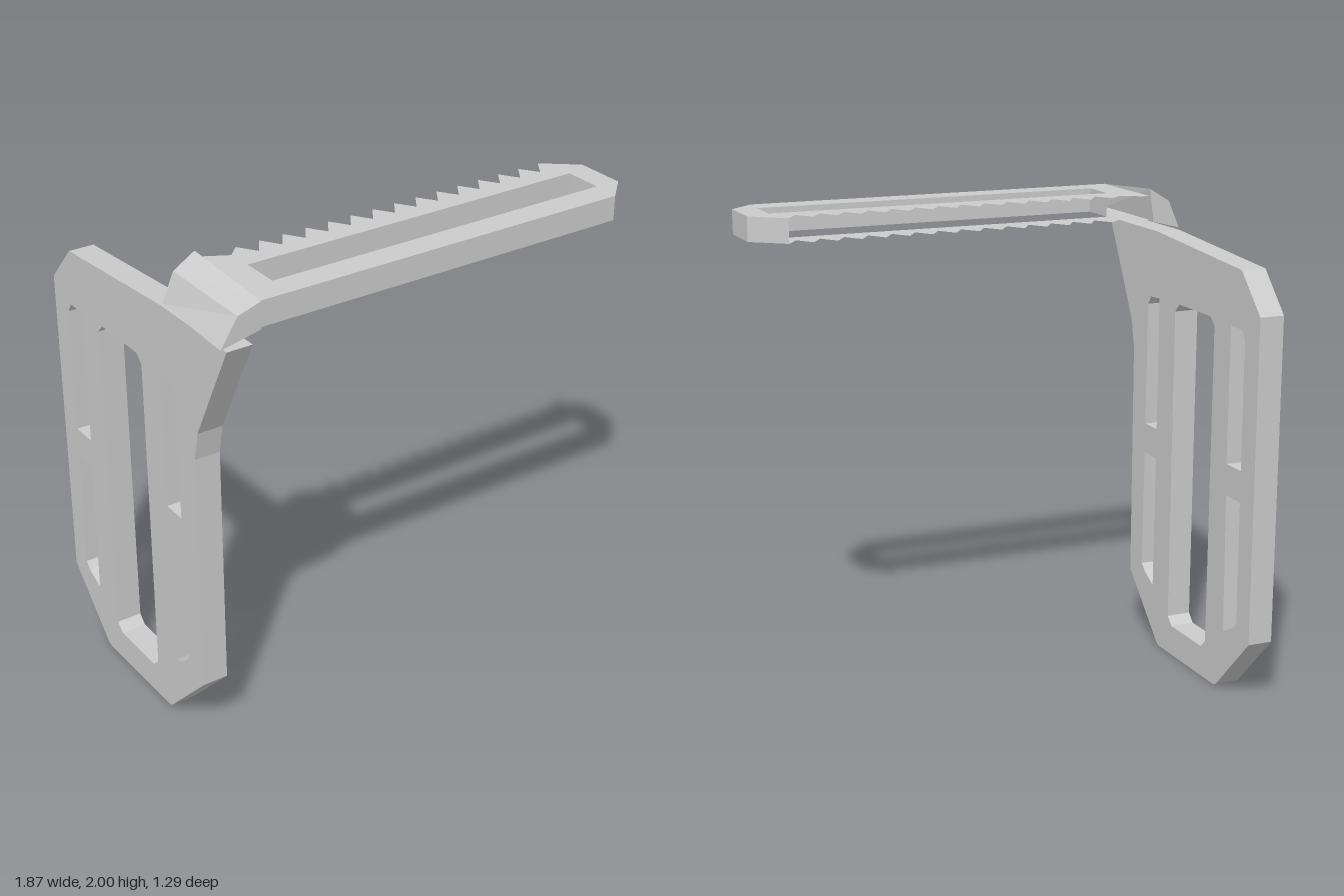
import * as THREE from 'three';

const material = new THREE.MeshStandardMaterial({ color: 0xcccccc, flatShading: true });
const sheetMaterial = new THREE.MeshStandardMaterial({ color: 0xcccccc, flatShading: true, side: THREE.DoubleSide });

const toPoints = (list) => list.map(([a, b]) => new THREE.Vector2(a, b));

function makeShape(outline, holes) {
  const shape = new THREE.Shape(toPoints(outline));
  for (const hole of holes) shape.holes.push(new THREE.Path(toPoints(hole)));
  return shape;
}

function addMesh(group, name, geometry, mat = material) {
  const mesh = new THREE.Mesh(geometry, mat);
  mesh.name = name;
  group.add(mesh);
  return mesh;
}

function quads(list) {
  const pos = [];
  for (const [a, b, c, d] of list) pos.push(...a, ...b, ...c, ...a, ...c, ...d);
  const geometry = new THREE.BufferGeometry();
  geometry.setAttribute('position', new THREE.Float32BufferAttribute(pos, 3));
  geometry.computeVertexNormals();
  return geometry;
}

// Upright wall along a path of [x, z] points
function wall(path, y0, y1) {
  return quads(path.slice(1).map(([bx, bz], i) => {
    const [ax, az] = path[i];
    return [[ax, y0, az], [bx, y0, bz], [bx, y1, bz], [ax, y1, az]];
  }));
}

// Upright frame, outlined in [z, y] and extruded across x
function sidePlate(group) {
  const outline = [
    [0.65, 1.82], [0.21, 1.82], [-0.49, 1.77], [-0.64, 1.61], [-0.64, 0.27], [-0.39, 0.01],
    [-0.37, 0], [0.12, 0], [0.14, 0.01], [0.4, 0.27], [0.405, 1.28], [0.43, 1.4],
  ];
  const c = 0.035;
  const holes = [
    // large centre slot
    [[0.04, 0.13 + c], [0.04 - c, 0.13], [-0.29 + c, 0.13], [-0.29, 0.13 + c],
      [-0.29, 1.545 - c], [-0.29 + c, 1.545], [0.04 - c, 1.545], [0.04, 1.545 - c]],
    // upper and lower slots on each side
    [[0.285, 0.97], [0.18, 0.97], [0.18, 1.54], [0.255, 1.535], [0.28, 1.5]],
    [[0.285, 0.84], [0.18, 0.84], [0.185, 0.26], [0.26, 0.3], [0.29, 0.33]],
    [[-0.535, 0.97], [-0.42, 0.97], [-0.42, 1.54], [-0.51, 1.535], [-0.53, 1.5]],
    [[-0.535, 0.84], [-0.425, 0.84], [-0.435, 0.26], [-0.515, 0.3], [-0.54, 0.33]],
  ];
  const geometry = new THREE.ExtrudeGeometry(makeShape(outline, holes), { depth: 0.105, bevelEnabled: false });
  geometry.rotateY(-Math.PI / 2);
  addMesh(group, 'sidePlate', geometry).position.x = -0.815;
}

// Slotted arm: two toothed sheets joined by walls, open behind the teeth
function toothedArm(group) {
  const arm = new THREE.Group();
  arm.name = 'toothedArm';
  const y0 = 1.87, y1 = 1.97;
  const rim = [[-0.78, 0.64], [0.82, 0.64], [0.925, 0.54], [0.925, 0.33], [0.79, 0.22]];
  const slot = [[-0.655, 0.37], [0.825, 0.37], [0.825, 0.53], [-0.655, 0.53]];
  const outline = [...rim];
  for (let i = 13; i >= 0; i--) {
    const tip = -0.61 + i * 0.1;
    outline.push([tip + 0.05, 0.295], [tip, 0.22]);
  }
  outline.push([-0.66, 0.27], [-0.75, 0.22], [-0.78, 0.22]);

  const flip = (list) => list.map(([x, z]) => [x, -z]);
  for (const [name, y] of [['lowerToothedSheet', y0], ['upperToothedSheet', y1]]) {
    const sheet = new THREE.ShapeGeometry(makeShape(flip(outline), [flip(slot)]));
    sheet.rotateX(-Math.PI / 2);
    addMesh(arm, name, sheet, sheetMaterial).position.y = y;
  }
  addMesh(arm, 'armRim', wall(rim, y0, y1));
  addMesh(arm, 'armSlotWall', wall([...slot, slot[0]], y0, y1));
  group.add(arm);
}

// Slanted corner block between plate and arm, from a front and a back section
function cornerBlock(group) {
  const front = [[-0.94, 1.83, 0.645], [-0.775, 1.865, 0.645], [-0.775, 1.97, 0.645], [-0.87, 1.94, 0.645]];
  const back = [[-0.92, 1.83, 0.22], [-0.8, 1.86, 0.22], [-0.78, 2, 0.22], [-0.87, 1.945, 0.22]];
  const faces = [front, [...back].reverse()];
  for (let i = 0; i < 4; i++) {
    const j = (i + 1) % 4;
    faces.push([front[i], back[i], back[j], front[j]]);
  }
  addMesh(group, 'cornerBlock', quads(faces));
}

export function createModel() {
  const group = new THREE.Group();
  group.name = 'toothedBracket';
  sidePlate(group);
  toothedArm(group);
  cornerBlock(group);
  return group;
}
